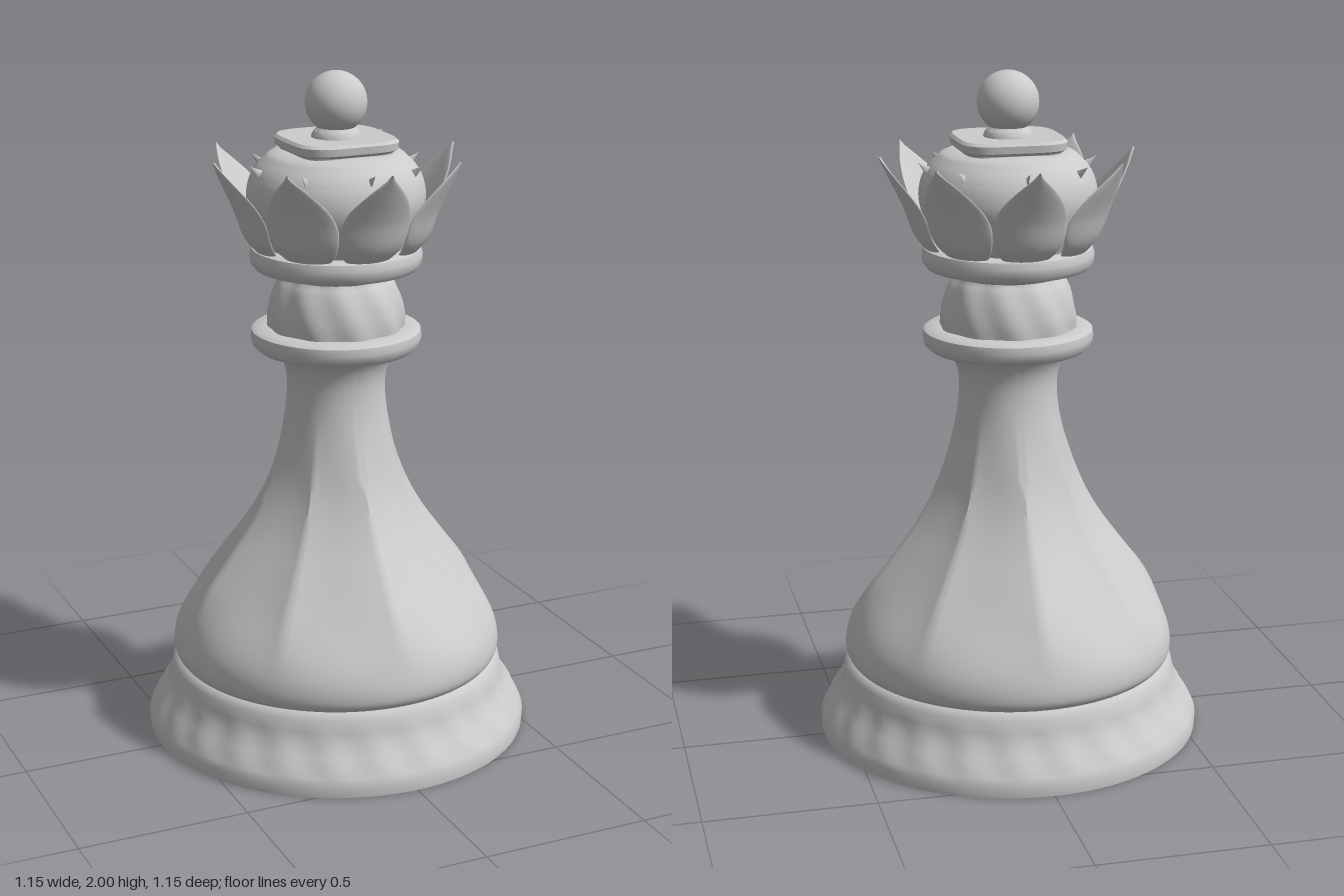
import * as THREE from 'three';
import { mergeVertices, toCreasedNormals } from 'three/addons/utils/BufferGeometryUtils.js';
import { ParametricGeometry } from 'three/addons/geometries/ParametricGeometry.js';

const grey = new THREE.MeshStandardMaterial({ color: 0xcccccc });
const thin = new THREE.MeshStandardMaterial({ color: 0xcccccc, side: THREE.DoubleSide });

// Smooth curve through [radius, height] pairs
const smooth = (pairs, n) =>
  new THREE.SplineCurve(pairs.map(p => new THREE.Vector2(...p))).getPoints(n);
const corners = pairs => pairs.map(p => new THREE.Vector2(...p));

// Turned part; swell(angle, height) scales the radius to carve it out of round
function turned(name, points, swell = () => 1, segments = 96) {
  let geo = new THREE.LatheGeometry(points, segments);
  geo.deleteAttribute('uv');
  geo.deleteAttribute('normal');
  const pos = geo.attributes.position;
  for (let i = 0; i < pos.count; i++) {
    const x = pos.getX(i), y = pos.getY(i), z = pos.getZ(i);
    const k = swell(Math.atan2(x, z), y);
    pos.setXYZ(i, x * k, y, z * k);
  }
  geo = mergeVertices(geo, 1e-4);
  geo = toCreasedNormals(geo, 0.7);
  const mesh = new THREE.Mesh(geo, grey);
  mesh.name = name;
  return mesh;
}

// Pointed petal: flat oval cross-sections stacked along an outward curve
function petalGeometry() {
  const spine = new THREE.CatmullRomCurve3([
    [0, 1.47, 0.205], [0, 1.53, 0.262], [0, 1.62, 0.3], [0, 1.7, 0.342], [0, 1.765, 0.378],
  ].map(p => new THREE.Vector3(...p)));
  const width = new THREE.SplineCurve(corners([
    [0, 0.05], [0.25, 0.088], [0.5, 0.108], [0.7, 0.094], [0.88, 0.05], [1, 0.003],
  ]));
  return new ParametricGeometry((u, v, out) => {
    const a = u * Math.PI * 2, p = spine.getPoint(v), w = width.getPoint(v).y;
    const x = w * Math.cos(a);
    const thick = 0.014 * (1 - 0.75 * v);
    out.set(x, p.y + thick * 0.4 * Math.sin(a), p.z - thick * Math.sin(a) - 2.2 * x * x);
  }, 24, 18);
}

export function createModel() {
  const model = new THREE.Group();
  model.name = 'chessQueen';

  // Foot with a lightly worn, notched moulding
  model.add(turned('foot', corners([
    [0, 0], [0.575, 0], [0.577, 0.035], [0.568, 0.055], [0.553, 0.08], [0.538, 0.105],
    [0.517, 0.135], [0.507, 0.17], [0.5, 0.205], [0.488, 0.222], [0.47, 0.23], [0, 0.23],
  ]), (a, y) => y > 0.07 && y < 0.15 ? 1 + 0.008 * Math.sin(a * 24) : 1, 144));

  // Bell-shaped body, softly faceted so it bulges toward the four axes
  const facet = (a, y) => {
    const band = THREE.MathUtils.smoothstep(y, 0.3, 0.5) * (1 - THREE.MathUtils.smoothstep(y, 0.75, 1.05));
    const eighth = Math.PI / 4;
    const local = a - Math.round(a / eighth) * eighth;
    const octagon = Math.cos(eighth / 2) / Math.cos(eighth / 2 - Math.abs(local));
    return 1 + band * (octagon - 0.96 - 0.025 * (1 - Math.cos(4 * a)));
  };
  model.add(turned('body', smooth([
    [0.47, 0.215], [0.494, 0.245], [0.492, 0.3], [0.465, 0.375], [0.415, 0.46], [0.345, 0.555],
    [0.275, 0.655], [0.222, 0.755], [0.182, 0.87], [0.153, 0.99], [0.145, 1.08],
    [0.156, 1.14], [0.183, 1.185],
  ], 60), facet, 128));

  // Collar and the carved neck above it
  model.add(turned('collar', corners([
    [0.13, 1.17], [0.19, 1.18], [0.232, 1.186], [0.247, 1.2], [0.252, 1.222],
    [0.249, 1.243], [0.235, 1.251], [0.2, 1.253], [0, 1.255],
  ])));
  model.add(turned('neck', smooth([
    [0.2, 1.24], [0.2, 1.29], [0.19, 1.34], [0.174, 1.38], [0.155, 1.41], [0.155, 1.44],
  ], 24), (a, y) => 1 + 0.016 * Math.sin(a * 10 + y * 22)));

  // Flared ring beneath the crown
  model.add(turned('crownRing', corners([
    [0, 1.4], [0.155, 1.405], [0.195, 1.418], [0.238, 1.43], [0.251, 1.446], [0.253, 1.47],
    [0.247, 1.489], [0.23, 1.495], [0, 1.495],
  ])));

  // Rounded crown
  model.add(turned('crown', smooth([
    [0.2, 1.48], [0.222, 1.53], [0.25, 1.59], [0.26, 1.645], [0.248, 1.7],
    [0.215, 1.745], [0.165, 1.772], [0, 1.78],
  ], 40)));

  // Rounded-square cap
  const square = a => Math.min(1.2, Math.pow(Math.abs(Math.cos(a)) ** 4 + Math.abs(Math.sin(a)) ** 4, -0.25));
  model.add(turned('cap', corners([
    [0.142, 1.75], [0.144, 1.775], [0.156, 1.784], [0.158, 1.805], [0.15, 1.813],
    [0.1, 1.811], [0, 1.811],
  ]), square));

  // Ball finial on a short stem
  model.add(turned('finialStem', smooth([
    [0.075, 1.8], [0.067, 1.825], [0.052, 1.843], [0.056, 1.87],
  ], 14), undefined, 40));
  const ball = new THREE.Mesh(new THREE.SphereGeometry(0.09, 36, 24), grey);
  ball.name = 'finialBall';
  ball.position.y = 1.91;
  model.add(ball);

  // Eight petals, each with a small thorn on the crown behind it
  const petalGeo = petalGeometry();
  const thornGeo = new THREE.ConeGeometry(0.03, 0.09, 10);
  for (let i = 0; i < 8; i++) {
    const leaf = new THREE.Group();
    leaf.name = 'crownLeaf' + (i + 1);
    leaf.rotation.y = i * Math.PI / 4;
    const petal = new THREE.Mesh(petalGeo, thin);
    petal.name = 'petal';
    const thorn = new THREE.Mesh(thornGeo, grey);
    thorn.name = 'thorn';
    thorn.position.set(0, 1.715, 0.23);
    thorn.rotation.x = 0.9;
    thorn.scale.x = 0.35;
    leaf.add(petal, thorn);
    model.add(leaf);
  }
  return model;
}
